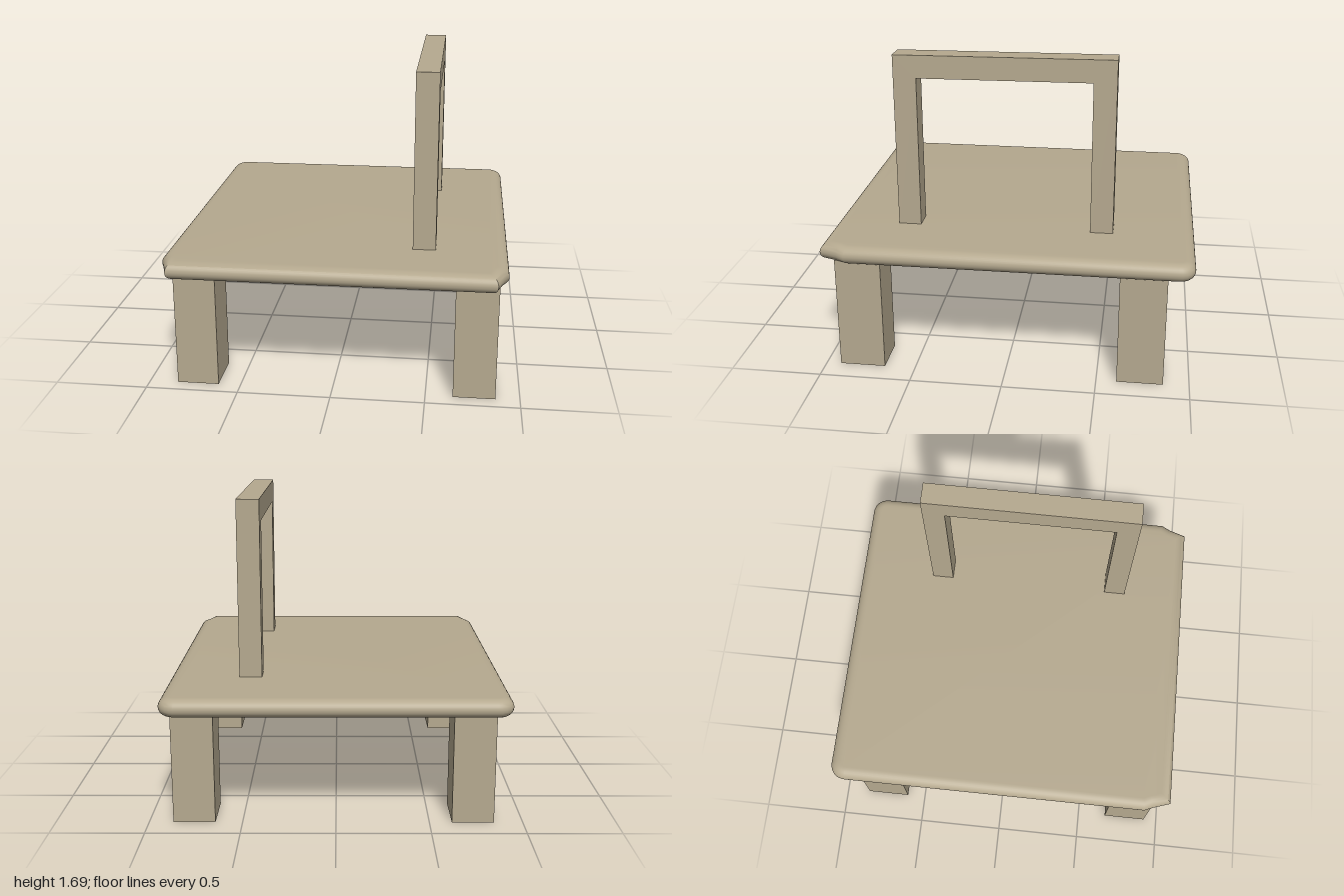
import * as THREE from 'three';
import { toCreasedNormals } from 'three/addons/utils/BufferGeometryUtils.js';

export function createModel() {
  const model = new THREE.Group();
  const material = new THREE.MeshStandardMaterial({ color: 0xb5a98f });
  const add = (name, geometry) => {
    const mesh = new THREE.Mesh(geometry, material);
    mesh.name = name;
    model.add(mesh);
    return mesh;
  };

  // Seat slab: rounded back corners, chamfered front corners, rolled edge
  const edge = 0.06, w = 0.857, r = 0.03;
  const outline = new THREE.Shape();
  // shape y becomes -z once laid flat
  outline.moveTo(-0.82, -0.94);
  outline.lineTo(0.815, -0.94);
  outline.lineTo(0.835, -0.88);
  outline.lineTo(w, -0.84);
  outline.lineTo(w, 0.94 - r);
  outline.quadraticCurveTo(w, 0.94, w - r, 0.94);
  outline.lineTo(-w + r, 0.94);
  outline.quadraticCurveTo(-w, 0.94, -w, 0.94 - r);
  outline.lineTo(-w, -0.84);
  outline.lineTo(-0.84, -0.88);
  outline.closePath();
  const slab = new THREE.ExtrudeGeometry(outline, {
    depth: 0.004, bevelThickness: 0.048, bevelSize: edge, bevelSegments: 8, curveSegments: 6,
  });
  slab.rotateX(-Math.PI / 2).translate(0, 0.668, 0);
  add('seat', toCreasedNormals(slab, 0.7));

  // Four square legs
  for (const [side, x] of [['left', 0.758], ['right', -0.733]]) {
    for (const [end, z] of [['Front', 0.795], ['Back', -0.735]]) {
      add(`${side}${end}Leg`, new THREE.BoxGeometry(0.225, 0.63, 0.25)).position.set(x, 0.315, z);
    }
  }

  // Arched rail standing on the left of the seat, its top very slightly sloped
  const arch = new THREE.Shape([
    [0.64, 0.7], [0.64, 1.685], [-0.555, 1.692], [-0.555, 0.7],
    [-0.43, 0.7], [-0.43, 1.565], [0.515, 1.56], [0.515, 0.7],
  ].map(([z, y]) => new THREE.Vector2(z, y)));
  const rail = new THREE.ExtrudeGeometry(arch, { depth: 0.124, bevelEnabled: false });
  rail.rotateY(-Math.PI / 2).translate(0.53, 0, 0);
  add('rail', rail);

  return model;
}
